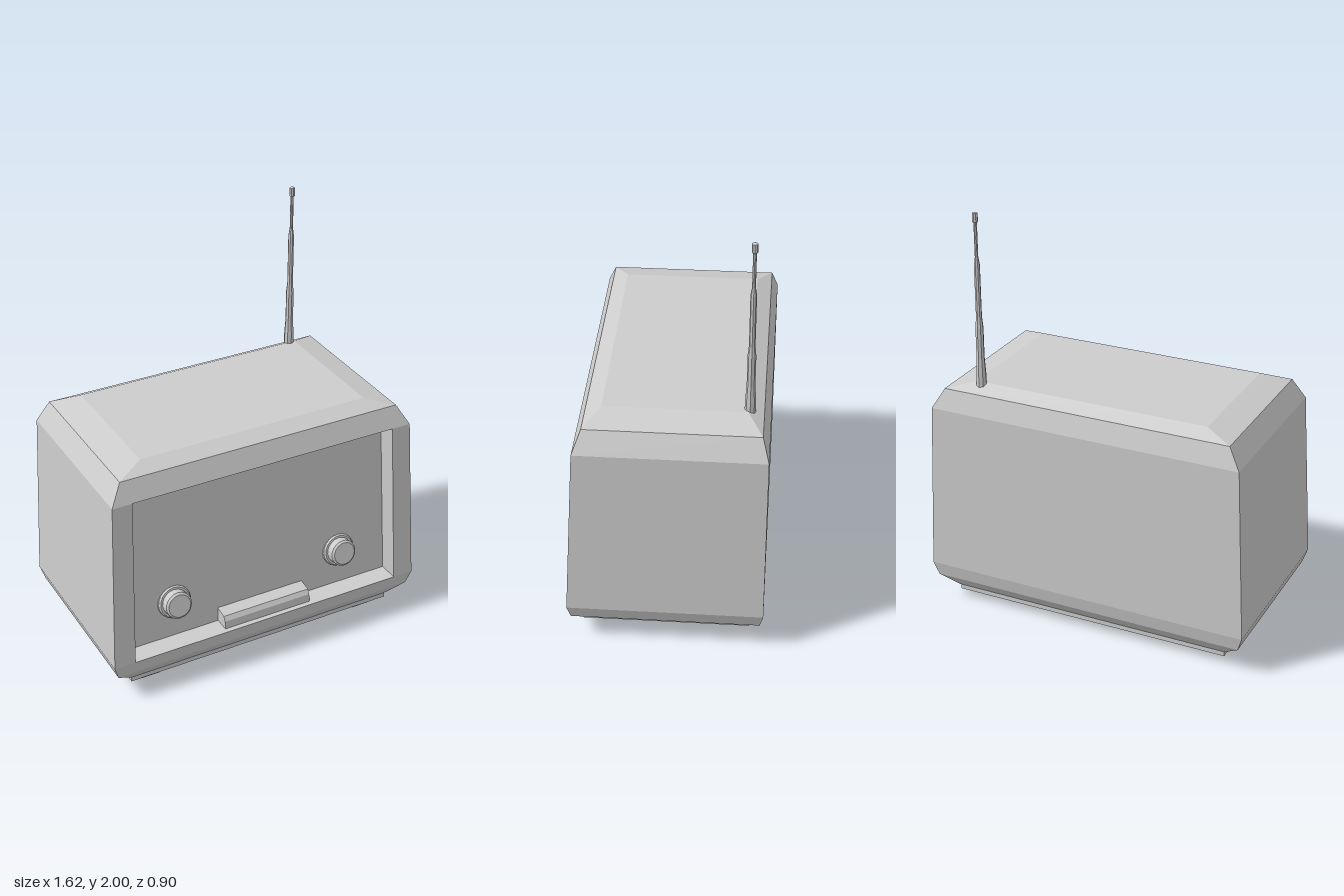
import * as THREE from 'three';

const casing = new THREE.MeshStandardMaterial({ color: 0xcccccc });
casing.name = 'casingGrey';

// Faceted mesh: every face keeps its own normal
function facetedMesh(name, geometry) {
  const flat = geometry.index ? geometry.toNonIndexed() : geometry;
  flat.computeVertexNormals();
  const mesh = new THREE.Mesh(flat, casing);
  mesh.name = name;
  return mesh;
}

// Geometry from a list of four-cornered faces, counterclockwise from outside
function fromQuads(quads) {
  const positions = [];
  for (const [a, b, c, d] of quads) positions.push(...a, ...b, ...c, ...a, ...c, ...d);
  const geometry = new THREE.BufferGeometry();
  geometry.setAttribute('position', new THREE.Float32BufferAttribute(positions, 3));
  return geometry;
}

function extrude(points, depth) {
  const shape = new THREE.Shape(points.map(([x, y]) => new THREE.Vector2(x, y)));
  return new THREE.ExtrudeGeometry(shape, { depth, bevelEnabled: false });
}

function lathe(points, sides) {
  return new THREE.LatheGeometry(points.map(([r, y]) => new THREE.Vector2(r, y)), sides);
}

// Cabinet: stacked rectangles [y, half width, front z, back z] with an open front
function cabinet() {
  const levels = [
    [0.07, 0.705, 0.398, -0.39],
    [0.13, 0.787, 0.44, -0.435],
    [0.2, 0.81, 0.455, -0.45],
    [1.04, 0.77, 0.41, -0.45],
    [1.14, 0.712, 0.37, -0.42],
    [1.176, 0.578, 0.295, -0.35],
  ];
  const rings = levels.map(([y, w, f, b]) => [[-w, y, f], [w, y, f], [w, y, b], [-w, y, b]]);
  const quads = [[...rings[0]].reverse(), rings[5]];
  for (let i = 0; i < 5; i++) {
    for (let k = 0; k < 4; k++) {
      if (i === 2 && k === 0) continue;
      const n = (k + 1) % 4;
      quads.push([rings[i][k], rings[i][n], rings[i + 1][n], rings[i + 1][k]]);
    }
  }
  // Side strips of the front frame, around the opening
  const [low, high] = [rings[2], rings[3]];
  const rim = [[-0.705, 0.2, 0.455], [0.705, 0.2, 0.455], [0.673, 1.04, 0.41], [-0.673, 1.04, 0.41]];
  quads.push([low[0], rim[0], rim[3], high[0]], [rim[1], low[1], high[1], rim[2]]);
  // Recess walls and the leaning front panel
  const panel = rim.map(([x, y, z]) => [x, y, z - 0.1]);
  const walls = rim.map((p, i) => [p, rim[(i + 1) % 4], panel[(i + 1) % 4], panel[i]]);
  const group = new THREE.Group();
  group.name = 'cabinet';
  group.add(
    facetedMesh('shell', fromQuads(quads)),
    facetedMesh('recessWalls', fromQuads(walls)),
    facetedMesh('frontPanel', fromQuads([panel])),
  );
  return group;
}

export function createModel() {
  const model = new THREE.Group();
  model.name = 'tableRadio';
  model.add(cabinet());

  // Base plate
  const plate = facetedMesh('basePlate', new THREE.BoxGeometry(1.4, 0.035, 0.78));
  plate.position.set(-0.003, 0.0605, 0.005);
  model.add(plate);

  // Four feet with slanted inner sides
  for (const side of [-1, 1]) {
    for (const back of [-0.315, 0.24]) {
      const outline = [[0.632, 0], [0.632, 0.046], [0.522, 0.046], [0.538, 0]];
      const foot = facetedMesh('foot', extrude(outline.map(([x, y]) => [x * side, y]), 0.11));
      foot.position.z = back;
      model.add(foot);
    }
  }

  // Knobs, tilted slightly upward
  for (const x of [-0.452, 0.438]) {
    const profile = [[0, -0.03], [0.083, -0.03], [0.083, 0.012], [0.076, 0.02],
      [0.066, 0.02], [0.066, 0.06], [0.056, 0.068], [0, 0.068]];
    const knob = facetedMesh('knob', lathe(profile, 20));
    knob.rotation.x = Math.PI / 2 - 0.2;
    knob.position.set(x, 0.39, 0.344);
    model.add(knob);
  }

  // Bar at the foot of the front panel
  const bar = extrude([[0.33, 0.198], [0.43, 0.198], [0.426, 0.24], [0.412, 0.262], [0.33, 0.276]], 0.46);
  bar.rotateY(-Math.PI / 2);
  bar.translate(0.236, 0, 0);
  model.add(facetedMesh('controlBar', bar));

  // Telescopic antenna with a small cap
  const sections = [[0, 1.15], [0.025, 1.15], [0.024, 1.22], [0.019, 1.3], [0.019, 1.45],
    [0.014, 1.5], [0.014, 1.75], [0.008, 1.79], [0.008, 1.95], [0.013, 1.955], [0.013, 1.995], [0, 2]];
  const antenna = facetedMesh('antenna', lathe(sections, 8));
  antenna.position.set(0.55, 0, -0.357);
  model.add(antenna);

  return model;
}
